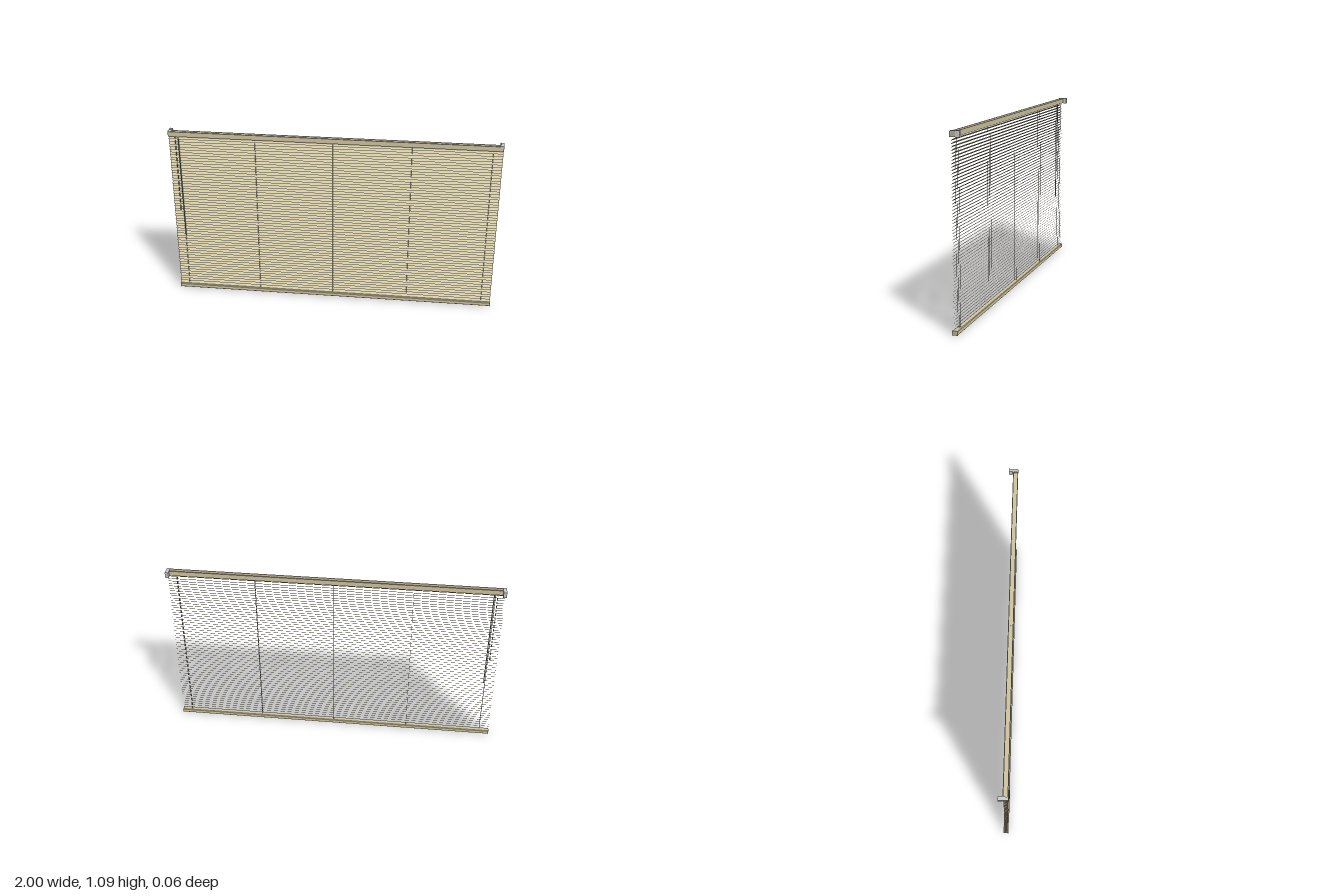
import * as THREE from 'three';

const mat = (color, side = THREE.FrontSide) => new THREE.MeshStandardMaterial({ color, side });
const beige = mat(0xcfc5a2);
const beigeThin = mat(0xcfc5a2, THREE.DoubleSide);
const railEnd = mat(0xbdb196);
const grey = mat(0xcccccc);
const cordMat = mat(0xb5ad92);
const wandMat = mat(0x8fa8a0);

export function createModel() {
  const group = new THREE.Group();

  function add(name, geometry, material, x = 0, y = 0, z = 0) {
    const mesh = new THREE.Mesh(geometry, material);
    mesh.name = name;
    mesh.position.set(x, y, z);
    group.add(mesh);
    return mesh;
  }

  // Extrudes a (z, y) outline along x, centred on x = 0
  function extrudeX(points, length) {
    const shape = new THREE.Shape(points.map(([z, y]) => new THREE.Vector2(-z, y)));
    const g = new THREE.ExtrudeGeometry(shape, { depth: length, bevelEnabled: false });
    g.translate(0, 0, -length / 2);
    return g.rotateY(Math.PI / 2);
  }

  function rod(name, x, y0, y1, z, r, material, sides = 6) {
    return add(name, new THREE.CylinderGeometry(r, r, y1 - y0, sides), material, x, (y0 + y1) / 2, z);
  }

  // Head rail: open channel with turned-in lips
  const zF = 0.025, zB = -0.006, yLo = 1.056, yHi = 1.086, t = 0.0015, lip = 0.005;
  add('headRail', extrudeX([
    [zB, yLo], [zF, yLo], [zF, yHi], [zF - lip, yHi], [zF - lip, yHi - t], [zF - t, yHi - t],
    [zF - t, yLo + t], [zB + t, yLo + t], [zB + t, yHi - t], [zB + lip, yHi - t],
    [zB + lip, yHi], [zB, yHi],
  ], 1.992), beige);

  // Rail end caps and wall brackets on both sides
  for (const s of [-1, 1]) {
    add('headRailCap', new THREE.BoxGeometry(0.006, 0.031, 0.032), railEnd, s * 0.996, 1.0715, 0.0095);
    add('wallBracket', new THREE.BoxGeometry(0.02, 0.035, 0.023), grey, s * 0.99, 1.0725, -0.0195);
    add('bracketClip', new THREE.BoxGeometry(0.02, 0.002, 0.034), grey, s * 0.99, 1.088, 0.007);
    add('bottomRailCap', new THREE.BoxGeometry(0.004, 0.025, 0.031), railEnd, s * 0.998, 0.0155, 0.0095);
    add('bottomPlug', new THREE.CylinderGeometry(0.008, 0.008, 0.004, 12), railEnd, s * 0.79, 0.002, 0.0095);
  }

  // Bottom rail with softened corners
  add('bottomRail', extrudeX([
    [-0.003, 0.003], [0.022, 0.003], [0.025, 0.006], [0.025, 0.025],
    [0.022, 0.028], [-0.003, 0.028], [-0.006, 0.025], [-0.006, 0.006],
  ], 1.992), beige);

  // Slats: thin crowned strips, front edge low and back edge high
  const slatGeo = new THREE.PlaneGeometry(1.996, 1, 1, 4);
  const p = slatGeo.attributes.position;
  for (let i = 0; i < p.count; i++) {
    const v = p.getY(i);
    const crown = 0.0014 * (1 - 4 * v * v);
    p.setXYZ(i, p.getX(i), v * 0.0138 + crown * 0.8, -v * 0.018 + crown * 0.6);
  }
  slatGeo.computeVertexNormals();
  const slatCount = 59, first = 0.038, last = 1.044;
  for (let i = 0; i < slatCount; i++) {
    add('slat', slatGeo, beigeThin, 0, first + (last - first) * i / (slatCount - 1), 0.009);
  }

  // Ladder cords in front and behind, lift cord through the middle
  for (const x of [-0.94, -0.47, 0, 0.47, 0.94]) {
    rod('ladderCordFront', x, 0.026, 1.058, 0.0185, 0.0009, cordMat);
    rod('ladderCordBack', x, 0.026, 1.058, -0.0005, 0.0009, cordMat);
    rod('liftCord', x, 0.026, 1.058, 0.009, 0.0009, cordMat);
  }

  // Tilt wand hanging from a small hook
  rod('tiltWand', -0.935, 0.39, 1.045, 0.028, 0.003, wandMat);
  const hook = new THREE.CatmullRomCurve3([
    new THREE.Vector3(-0.935, 1.06, 0.02),
    new THREE.Vector3(-0.935, 1.052, 0.024),
    new THREE.Vector3(-0.935, 1.04, 0.028),
  ]);
  add('wandHook', new THREE.TubeGeometry(hook, 8, 0.0015, 6), grey);

  // Pull cords with a tassel
  rod('pullCord', -0.956, 0.59, 1.058, 0.0255, 0.0009, cordMat);
  rod('pullCord', -0.953, 0.59, 1.058, 0.0255, 0.0009, cordMat);
  const tassel = [[0, 0], [0.0045, 0], [0.004, 0.012], [0.002, 0.026], [0, 0.028]]
    .map(([r, y]) => new THREE.Vector2(r, y));
  add('cordTassel', new THREE.LatheGeometry(tassel, 12), railEnd, -0.9545, 0.57, 0.0255);

  return group;
}
